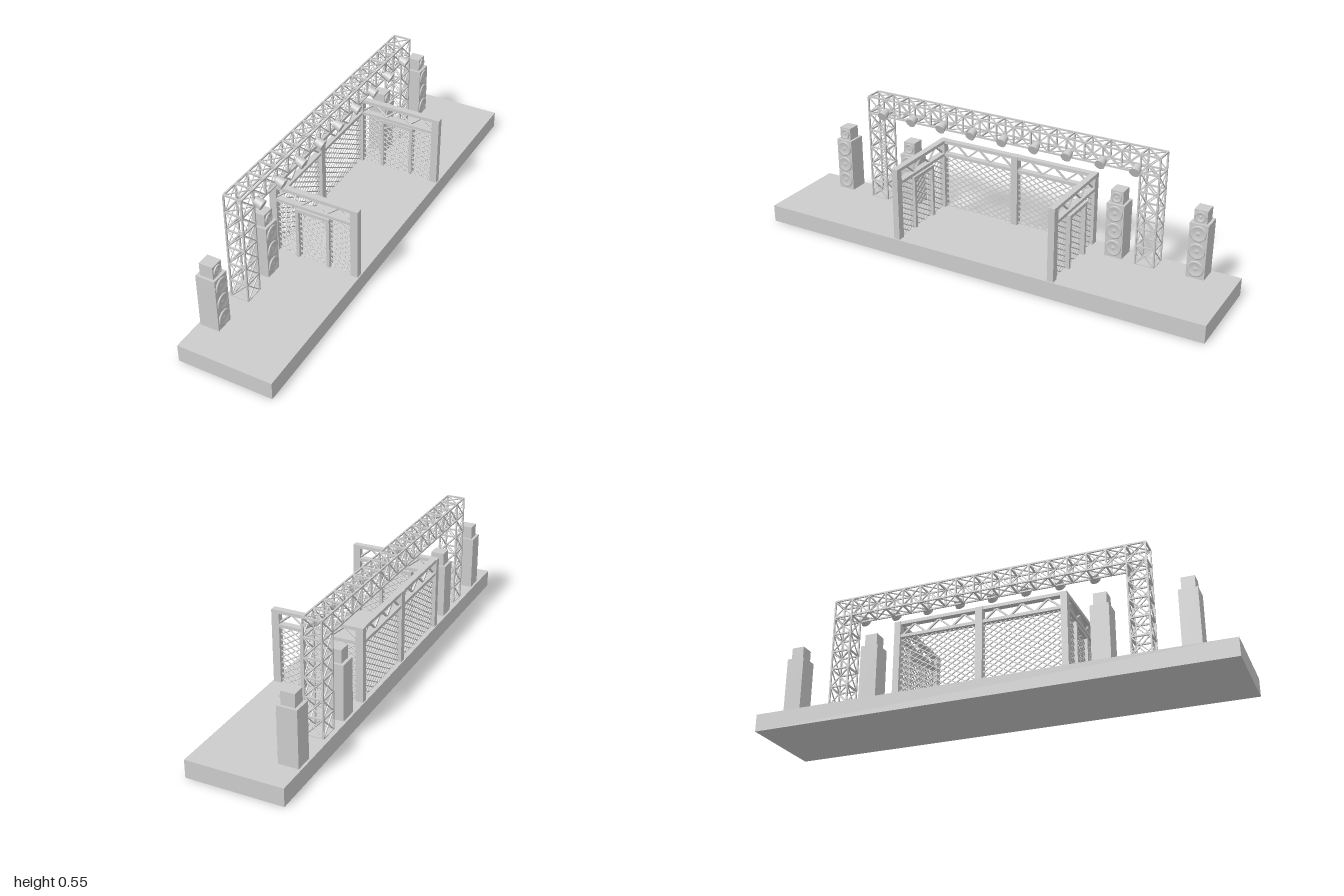
import * as THREE from 'three';
import { mergeGeometries } from 'three/addons/utils/BufferGeometryUtils.js';

const material = new THREE.MeshStandardMaterial({ color: 0xcccccc, side: THREE.DoubleSide });
const FLOOR = 0.075;

// Box given by its min and max corners
function block(x0, x1, y0, y1, z0, z1) {
  return new THREE.BoxGeometry(x1 - x0, y1 - y0, z1 - z0)
    .translate((x0 + x1) / 2, (y0 + y1) / 2, (z0 + z1) / 2);
}

// Square bar between two points
function bar(a, b, t) {
  const from = new THREE.Vector3(...a), to = new THREE.Vector3(...b);
  const dir = to.clone().sub(from), len = dir.length();
  const q = new THREE.Quaternion().setFromUnitVectors(new THREE.Vector3(0, 0, 1), dir.normalize());
  return new THREE.BoxGeometry(t, t, len).applyQuaternion(q)
    .translate(...from.add(to).multiplyScalar(0.5).toArray());
}

function part(name, geometries) {
  const mesh = new THREE.Mesh(mergeGeometries(geometries), material);
  mesh.name = name;
  return mesh;
}

// Truss run: chords, end frames and crossed braces on the four long faces.
// at(u, v, s) maps the section corner (u, v = 0 or 1) and distance s to a point.
function truss(at, start, end, cells) {
  const out = [], T = 0.0065, D = 0.004, step = (end - start) / cells;
  const ring = [[0, 0], [1, 0], [1, 1], [0, 1]];
  ring.forEach((c, i) => {
    const n = ring[(i + 1) % 4];
    out.push(bar(at(...c, start), at(...c, end), T));
    for (let k = 0; k <= cells; k++) {
      const s = start + k * step;
      out.push(bar(at(...c, s), at(...n, s), T));
      if (k < cells) {
        out.push(bar(at(...c, s), at(...n, s + step), D));
        out.push(bar(at(...n, s), at(...c, s + step), D));
      }
    }
  });
  return out;
}

// Diamond mesh clipped to a rectangle; to3(u, y) places it in its wall
function diamondMesh(to3, u0, u1, y0, y1) {
  const out = [], slope = 0.62, pitch = 0.0248, w = u1 - u0;
  for (const m of [slope, -slope]) {
    const low = m > 0 ? y0 - w * slope : y0;
    const high = m > 0 ? y1 : y1 + w * slope;
    for (let c = low + pitch / 2; c < high; c += pitch) {
      // Line y = c + m * d, d measured from u0
      const d0 = (y0 - c) / m, d1 = (y1 - c) / m;
      const a = Math.max(0, Math.min(d0, d1)), b = Math.min(w, Math.max(d0, d1));
      if (b - a > 0.003) out.push(bar(to3(u0 + a, c + m * a), to3(u0 + b, c + m * b), 0.004));
    }
  }
  return out;
}

// Zigzag struts between the two upper rails
function zigzag(to3, u0, u1) {
  const out = [], n = 6, step = (u1 - u0) / n;
  for (let i = 0; i < n; i++) {
    const up = i % 2 === 0;
    out.push(bar(to3(u0 + i * step, up ? 0.33 : 0.377), to3(u0 + (i + 1) * step, up ? 0.377 : 0.33), 0.007));
  }
  return out;
}

function createCage() {
  const cage = new THREE.Group();
  cage.name = 'cage';
  const sides = [{ z: 0.349, door: 0.349 }, { z: -0.364, door: -0.371 }];
  const h = 0.0135, backX = -0.179, mid = -0.006;

  // Side walls with a door frame each
  for (const { z, door } of sides) {
    const place = (u, y) => [u, y, z];
    cage.add(part('sideWallFrame', [
      block(-0.195, -0.163, FLOOR, 0.39, z - h, z + h),
      block(0.163, 0.195, FLOOR, 0.39, z - h, z + h),
      block(-0.163, 0.163, 0.376, 0.39, z - h, z + h),
      block(-0.163, 0.163, 0.318, 0.331, z - h, z + h),
      ...zigzag(place, -0.17, 0.17),
    ]));
    cage.add(part('sideWallMesh', diamondMesh(place, -0.163, 0.163, FLOOR, 0.318)));
    cage.add(part('doorFrame', [
      block(-0.08, -0.066, FLOOR, 0.31, door - h, door + h),
      block(0.056, 0.07, FLOOR, 0.31, door - h, door + h),
      block(-0.066, 0.056, 0.296, 0.31, door - h, door + h),
    ]));
  }

  // Back wall of two panels around a middle post
  const place = (u, y) => [backX, y, u];
  const z0 = sides[1].z + h, z1 = sides[0].z - h;
  cage.add(part('backWallFrame', [
    block(backX - 0.016, backX + 0.016, FLOOR, 0.39, mid - 0.015, mid + 0.015),
    block(backX - h, backX + h, 0.376, 0.39, z0, z1),
    block(backX - h, backX + h, 0.318, 0.331, z0, z1),
    ...zigzag(place, z0, mid - 0.015),
    ...zigzag(place, mid + 0.015, z1),
  ]));
  cage.add(part('backWallMesh', [
    ...diamondMesh(place, z0, mid - 0.015, FLOOR, 0.318),
    ...diamondMesh(place, mid + 0.015, z1, FLOOR, 0.318),
  ]));
  return cage;
}

// Round driver facing +x: raised rim, sunken cone, domed centre
function driver(r, x, y) {
  const profile = [[r, 0], [r, 0.004], [r * 0.9, 0.006], [r * 0.8, 0.005],
    [r * 0.35, 0.001], [r * 0.2, 0.004], [0, 0.005]].map((p) => new THREE.Vector2(...p));
  return new THREE.LatheGeometry(profile, 24).rotateZ(-Math.PI / 2).translate(x, y, 0);
}

function createSpeaker(z) {
  const speaker = new THREE.Group();
  speaker.name = 'speakerTower';
  speaker.add(part('speakerCabinet', [block(-0.19, -0.108, FLOOR, 0.31, -0.038, 0.038)]));
  speaker.add(part('speakerTopBox', [block(-0.177, -0.12, 0.31, 0.365, -0.027, 0.027)]));
  speaker.add(part('speakerDrivers', [
    ...[0.118, 0.194, 0.27].map((y) => driver(0.034, -0.108, y)),
    driver(0.022, -0.12, 0.337),
  ]));
  speaker.position.z = z;
  return speaker;
}

export function createModel() {
  const model = new THREE.Group();
  model.name = 'stage';
  model.add(part('platform', [block(-0.2, 0.2, 0, FLOOR, -1, 1)]));

  // Gantry: one long beam on two legs
  const X0 = -0.178, W = 0.075, Z0 = -0.67, Z1 = 0.679, Y0 = 0.472, Y1 = 0.548;
  const gantry = new THREE.Group();
  gantry.name = 'gantry';
  gantry.add(part('gantryBeam', truss((u, v, s) => [X0 + u * W, Y0 + v * (Y1 - Y0), s], Z0, Z1, 17)));
  for (const z of [Z0, Z1 - 0.079]) {
    gantry.add(part('gantryLeg', truss((u, v, s) => [X0 + u * W, s, z + v * 0.079], FLOOR, Y0, 5)));
  }
  model.add(gantry);

  // Spotlights along the beam, tipped down towards the stage
  for (let i = 0; i < 9; i++) {
    const lamp = part('spotlight', [new THREE.CylinderGeometry(0.0215, 0.016, 0.036, 20)]);
    lamp.rotation.z = -Math.PI / 2 - 0.38;
    lamp.position.set(-0.087, 0.488, 0.005 + (i - 4) * 0.146);
    model.add(lamp);
  }

  model.add(createCage());
  for (const z of [0.83, 0.488, -0.493, -0.84]) model.add(createSpeaker(z));
  return model;
}
